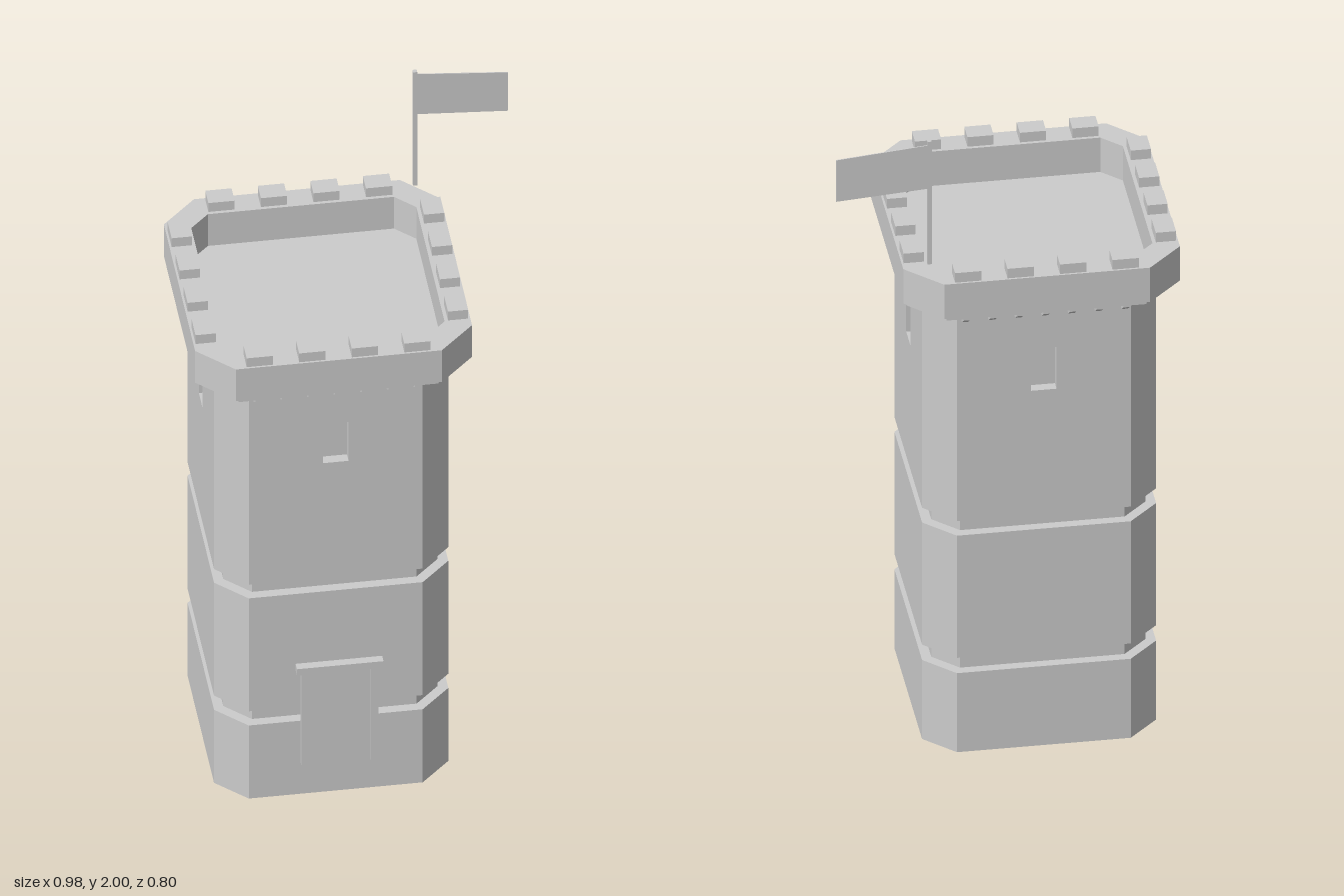
import * as THREE from 'three';

const stone = new THREE.MeshStandardMaterial({ color: 0xcccccc });
stone.name = 'stoneGrey';
const cloth = new THREE.MeshStandardMaterial({ color: 0xcccccc, side: THREE.DoubleSide });
cloth.name = 'clothGrey';

function add(parent, name, geometry, material = stone) {
  const mesh = new THREE.Mesh(geometry, material);
  mesh.name = name;
  parent.add(mesh);
  return mesh;
}

// Square with cut corners, as points
function octagon(h, c) {
  const i = h - c;
  return [[h, -i], [h, i], [i, h], [-i, h], [-h, i], [-h, -i], [-i, -h], [i, -h]]
    .map(([x, y]) => new THREE.Vector2(x, y));
}

// Upright prism between two heights, optionally with an inner opening
function prism(points, y0, y1, hole) {
  const shape = new THREE.Shape(points);
  if (hole) shape.holes.push(new THREE.Path(hole));
  return new THREE.ExtrudeGeometry(shape, { depth: y1 - y0, bevelEnabled: false })
    .rotateX(-Math.PI / 2).translate(0, y0, 0);
}

function box(x0, x1, y0, y1, z0, z1) {
  return new THREE.BoxGeometry(x1 - x0, y1 - y0, z1 - z0)
    .translate((x0 + x1) / 2, (y0 + y1) / 2, (z0 + z1) / 2);
}

// Wall panel with a window opening, facing +z
function windowPanel() {
  const shape = new THREE.Shape([[-0.245, 0.755], [0.245, 0.755], [0.245, 1.45], [-0.245, 1.45]]
    .map(([x, y]) => new THREE.Vector2(x, y)));
  shape.holes.push(new THREE.Path([[-0.036, 1.16], [-0.036, 1.297], [0.036, 1.297], [0.036, 1.16]]
    .map(([x, y]) => new THREE.Vector2(x, y))));
  return new THREE.ExtrudeGeometry(shape, { depth: 0.03, bevelEnabled: false }).translate(0, 0, 0.3);
}

// Small bracket with a sloping underside
function corbel(x) {
  const w = 0.018;
  const shape = new THREE.Shape([[0.32, 1.415], [0.35, 1.415], [0.38, 1.438], [0.38, 1.447], [0.32, 1.447]]
    .map(([a, b]) => new THREE.Vector2(a, b)));
  return new THREE.ExtrudeGeometry(shape, { depth: w, bevelEnabled: false })
    .rotateY(-Math.PI / 2).translate(x + w / 2, 0, 0);
}

export function createModel() {
  const model = new THREE.Group();
  model.name = 'watchtower';
  const tower = new THREE.Group();
  tower.name = 'tower';
  tower.position.set(-0.1, 0, -0.012);
  model.add(tower);

  // Stacked body with two recessed bands
  add(tower, 'baseBlock', prism(octagon(0.33, 0.085), 0, 0.258));
  add(tower, 'lowerBand', prism(octagon(0.302, 0.07), 0.258, 0.308));
  add(tower, 'middleBlock', prism(octagon(0.33, 0.085), 0.308, 0.707));
  add(tower, 'upperBand', prism(octagon(0.302, 0.07), 0.707, 0.755));
  add(tower, 'upperCore', prism(octagon(0.3, 0.055), 0.755, 1.45));

  // Parapet and roof floor
  add(tower, 'roofFloor', prism(octagon(0.325, 0.07), 1.44, 1.455));
  const inner = octagon(0.317, 0.055);
  add(tower, 'parapetFoot', prism(octagon(0.38, 0.098), 1.443, 1.455, inner));
  add(tower, 'parapet', prism(octagon(0.39, 0.1), 1.455, 1.567, inner));

  // Four matching sides
  const wedge = [[0.33, 0.245], [0.245, 0.33], [0.245, 0.3], [0.3, 0.245]]
    .map(([x, y]) => new THREE.Vector2(x, y));
  for (let k = 0; k < 4; k++) {
    const side = new THREE.Group();
    side.name = 'side' + (k + 1);
    side.rotation.y = k * Math.PI / 2;
    tower.add(side);
    add(side, 'windowWall', windowPanel());
    add(side, 'cornerWall', prism(wedge, 0.755, 1.45));
    for (const x of [-0.222, -0.074, 0.074, 0.222]) {
      add(side, 'merlon', box(x - 0.037, x + 0.037, 1.56, 1.598, 0.327, 0.384));
    }
    for (let i = -3; i <= 3; i++) add(side, 'corbel', corbel(i * 0.075));
  }

  // Door standing just ahead of the wall
  const door = new THREE.Group();
  door.name = 'door';
  door.position.x = -0.1;
  model.add(door);
  add(door, 'doorPanel', box(-0.09, 0.09, 0.16, 0.487, 0.382, 0.389));
  for (const s of [-1, 1]) {
    add(door, 'doorPost', box(s * 0.097 - 0.011, s * 0.097 + 0.011, 0.157, 0.485, 0.38, 0.398));
  }
  add(door, 'lintel', box(-0.122, 0.122, 0.484, 0.507, 0.377, 0.402));

  // Flagpole and flag
  add(model, 'flagpole', box(0.216, 0.228, 1.6, 2, -0.341, -0.329));
  const flag = new THREE.Shape([[0.226, 1.846], [0.485, 1.828], [0.485, 1.963], [0.226, 1.987]]
    .map(([x, y]) => new THREE.Vector2(x, y)));
  add(model, 'flag', new THREE.ExtrudeGeometry(flag, { depth: 0.003, bevelEnabled: false })
    .translate(0, 0, -0.339), cloth);
  return model;
}
